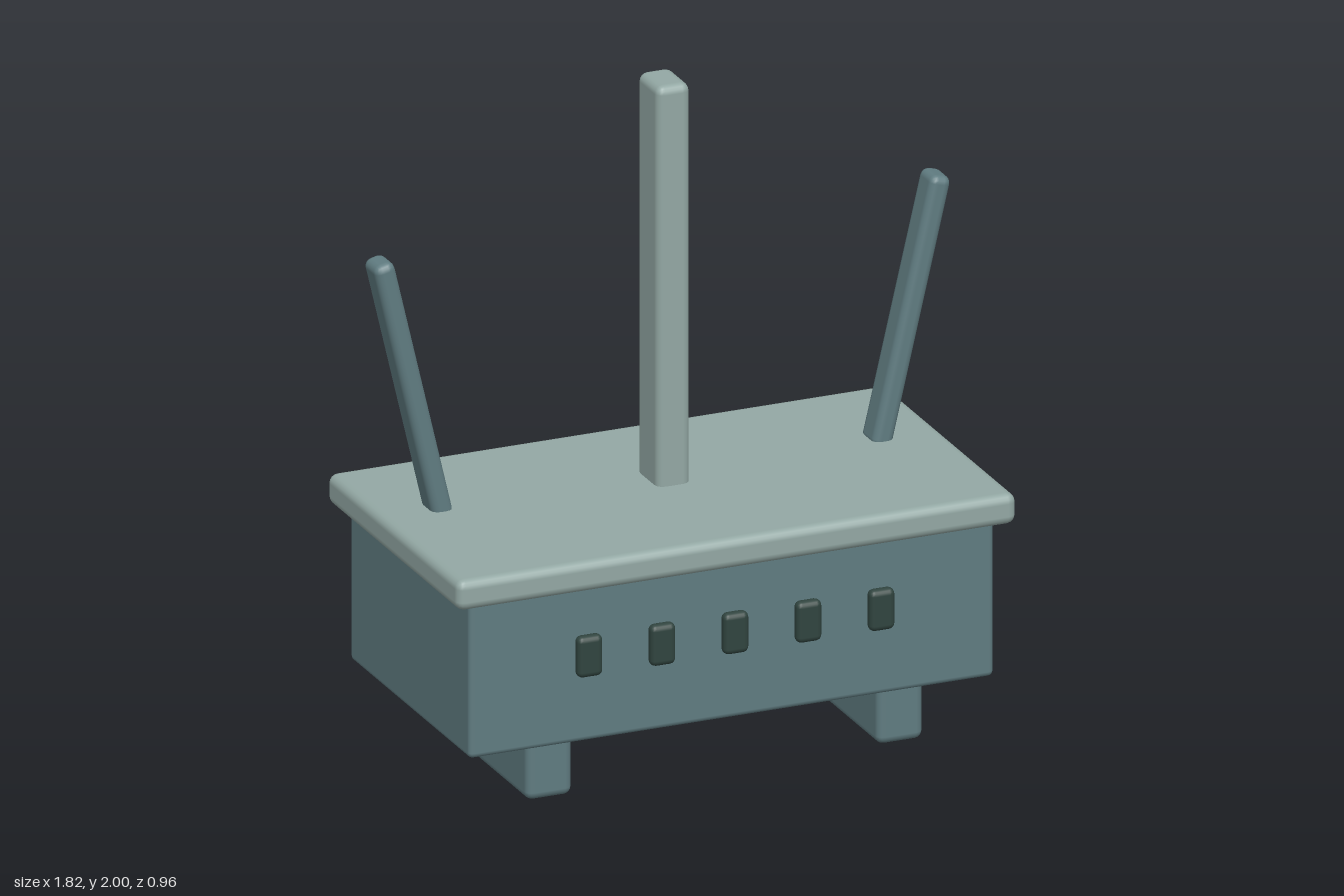
import * as THREE from 'three';
import { RoundedBoxGeometry } from 'three/addons/geometries/RoundedBoxGeometry.js';

export function createModel() {
  const group = new THREE.Group();
  const material = (name, color) => {
    const m = new THREE.MeshStandardMaterial({ color });
    m.name = name;
    return m;
  };
  const slate = material('slate', 0x607c81);
  const sage = material('sage', 0x93a8a4);
  const dark = material('dark green', 0x30443f);

  // Box with softened edges, given by size and centre
  const block = (name, mat, [w, h, d], [x, y, z], radius) => {
    const mesh = new THREE.Mesh(new RoundedBoxGeometry(w, h, d, 2, radius), mat);
    mesh.name = name;
    mesh.position.set(x, y, z);
    group.add(mesh);
    return mesh;
  };

  block('body', slate, [1.66, 0.5, 0.87], [0, 0.43, 0], 0.016);
  block('lid', sage, [1.77, 0.095, 0.96], [0, 0.708, 0], 0.028);
  block('centerPost', sage, [0.106, 1.28, 0.154], [0, 1.36, -0.058], 0.026);

  for (const side of [-1, 1]) {
    const name = side > 0 ? 'left' : 'right';
    block(name + 'Foot', slate, [0.145, 0.2, 0.78], [side * 0.555, 0.1, 0], 0.024);

    // Side rods lean outward, with their feet sunk into the lid
    const rod = block(name + 'Rod', slate, [0.066, 0.84, 0.1], [side * 0.787, 1.141, -0.106], 0.024);
    rod.rotation.z = -side * 0.23;
  }

  // Row of front buttons
  for (let i = -2; i <= 2; i++) {
    block('button', dark, [0.08, 0.128, 0.04], [i * 0.231, 0.456, 0.457], 0.018);
  }

  return group;
}
